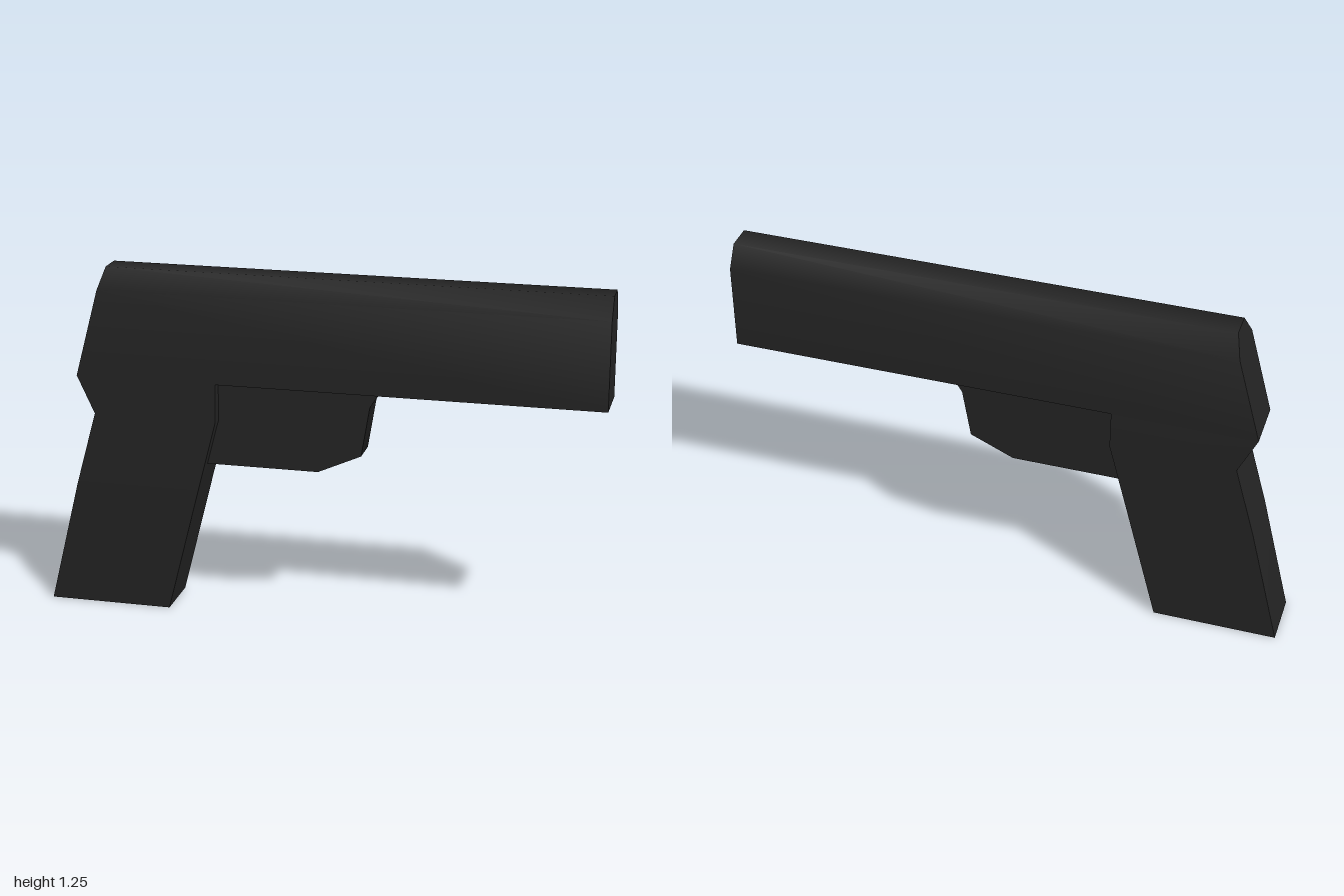
import * as THREE from 'three';
import { mergeVertices, toCreasedNormals } from 'three/addons/utils/BufferGeometryUtils.js';

// Skin a series of equal-length rings, counter-clockwise about the direction of travel, and cap both ends.
function loft(rings, crease) {
  const n = rings[0].length;
  const last = (rings.length - 1) * n;
  const index = [];
  for (let r = 0; r < rings.length - 1; r++) {
    for (let j = 0; j < n; j++) {
      const a = r * n + j;
      const b = r * n + (j + 1) % n;
      index.push(a, b, b + n, a, b + n, a + n);
    }
  }
  for (let j = 1; j < n - 1; j++) {
    index.push(0, j + 1, j);
    index.push(last, last + j, last + j + 1);
  }
  const geometry = new THREE.BufferGeometry();
  geometry.setAttribute('position', new THREE.Float32BufferAttribute(rings.flat(2), 3));
  geometry.setIndex(index);
  return toCreasedNormals(geometry, crease);
}

export function createModel() {
  const model = new THREE.Group();
  const black = new THREE.MeshStandardMaterial({ color: 0x232323 });
  black.name = 'matte black';
  const add = (name, geometry) => {
    const mesh = new THREE.Mesh(geometry, black);
    mesh.name = name;
    model.add(mesh);
  };

  // Upper body: bevelled section [y, z] with a raked rear end
  const section = [
    [1.245, -0.045], [1.245, 0.045], [1.17, 0.092],
    [0.855, 0.092], [0.855, -0.092], [1.17, -0.092],
  ];
  const rearX = (y) => -0.88 + (y - 0.855) * 0.269;
  add('upperBody', loft([
    section.map(([y, z]) => [rearX(y), y, z]),
    section.map(([y, z]) => [1, y, z]),
  ], 1.05));

  // Handle: rows of [y, back x, front x, half width]
  const rows = [
    [0, -1, -0.555, 0.098],
    [0.45, -0.89, -0.44, 0.098],
    [0.72, -0.815, -0.37, 0.098],
    [0.855, -0.88, -0.37, 0.092],
  ];
  add('handle', loft(rows.map(([y, back, front, w]) => [
    [front, y, w], [front, y, -w], [back, y, -w], [back, y, w],
  ]), 0.6));

  // Solid guard block under the body
  const outline = [
    [-0.42, 0.55], [-0.01, 0.55], [0.145, 0.62],
    [0.175, 0.8], [0.21, 0.855], [-0.37, 0.855], [-0.37, 0.715],
  ];
  const shape = new THREE.Shape(outline.map(([x, y]) => new THREE.Vector2(x, y)));
  let guard = new THREE.ExtrudeGeometry(shape, { depth: 0.11, bevelEnabled: false });
  guard.translate(0, 0, -0.055);
  guard.deleteAttribute('uv');
  guard.deleteAttribute('normal');
  guard = toCreasedNormals(mergeVertices(guard), 1.05);
  add('guard', guard);

  return model;
}
